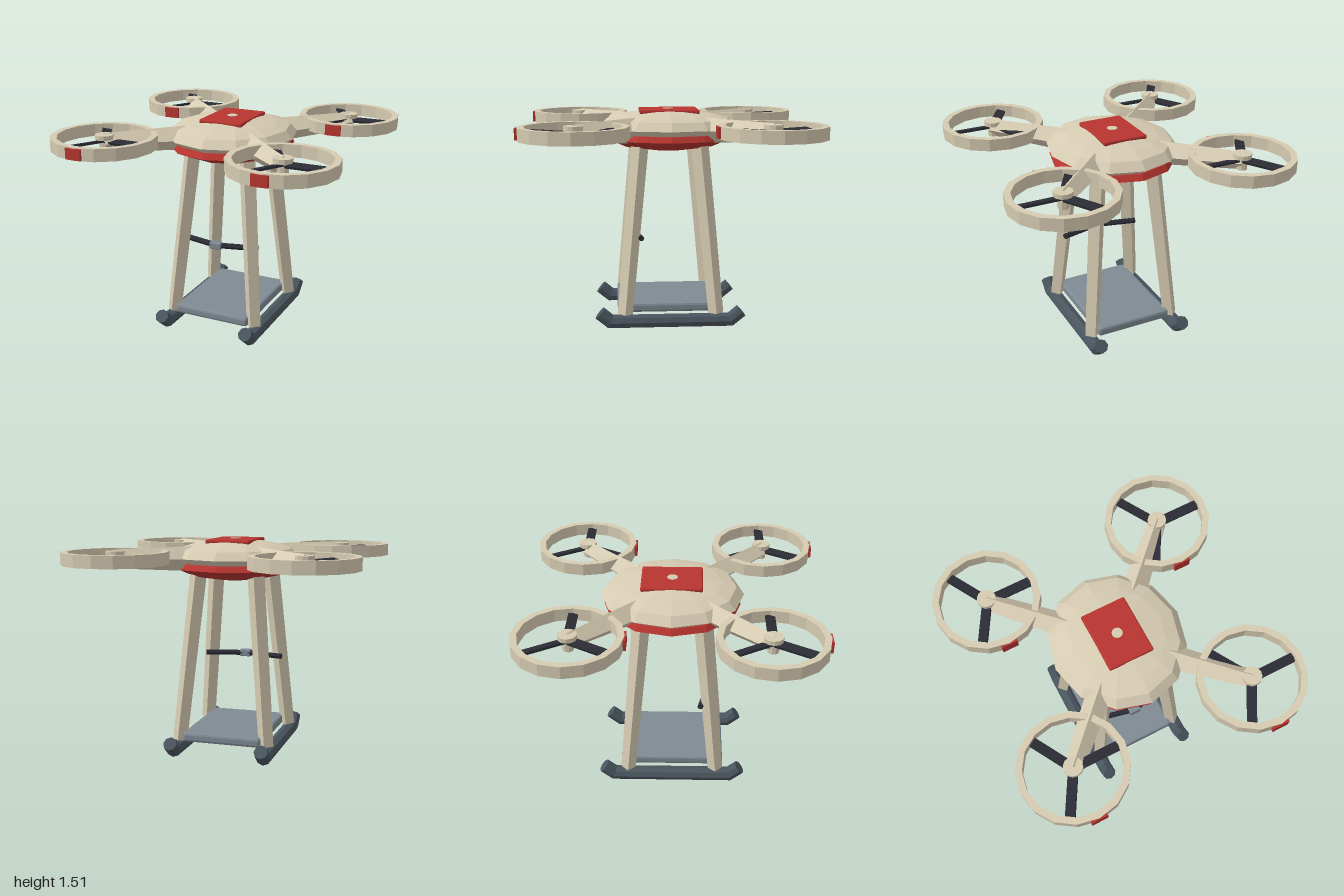
import * as THREE from 'three';
import { RoundedBoxGeometry } from 'three/addons/geometries/RoundedBoxGeometry.js';

const mat = (name, color) => {
  const m = new THREE.MeshStandardMaterial({ color });
  m.name = name;
  return m;
};
const V = (x, y, z) => new THREE.Vector3(x, y, z);

// faceted copy of a geometry
function facet(geo) {
  const g = geo.index ? geo.toNonIndexed() : geo;
  g.computeVertexNormals();
  return g;
}

// faceted solid of revolution, profile listed bottom to top
const lathe = (profile, sides) =>
  facet(new THREE.LatheGeometry(profile.map(p => new THREE.Vector2(...p)), sides));

// capped bar of regular cross-sections along a path; one corner points along "up"
function bar(path, radii, sides, up) {
  const pos = [], idx = [], n = path.length;
  path.forEach((p, i) => {
    const t = V(0, 0, 0);
    if (i > 0) t.add(p.clone().sub(path[i - 1]).normalize());
    if (i < n - 1) t.add(path[i + 1].clone().sub(p).normalize());
    t.normalize();
    const right = up.clone().cross(t).normalize();
    const top = t.clone().cross(right);
    for (let j = 0; j < sides; j++) {
      const a = (j / sides) * Math.PI * 2;
      const q = p.clone().addScaledVector(right, Math.cos(a) * radii[i]).addScaledVector(top, Math.sin(a) * radii[i]);
      pos.push(q.x, q.y, q.z);
    }
  });
  for (let i = 0; i < n - 1; i++) {
    for (let j = 0; j < sides; j++) {
      const a = i * sides + j, b = i * sides + (j + 1) % sides;
      idx.push(a, b, a + sides, b, b + sides, a + sides);
    }
  }
  const last = (n - 1) * sides;
  for (let j = 1; j < sides - 1; j++) {
    idx.push(0, j + 1, j, last, last + j, last + j + 1);
  }
  const g = new THREE.BufferGeometry();
  g.setAttribute('position', new THREE.Float32BufferAttribute(pos, 3));
  g.setIndex(idx);
  return facet(g);
}

export function createModel() {
  const cream = mat('cream shell', 0xd6cbb2);
  const red = mat('red panel', 0xb83530);
  const dark = mat('dark blade', 0x2b2b35);
  const slate = mat('slate skid', 0x4a555e);
  const grey = mat('grey tray', 0x7f8a94);

  const model = new THREE.Group();
  model.name = 'quadcopter';
  const add = (parent, name, geo, material, x = 0, y = 0, z = 0) => {
    const m = new THREE.Mesh(geo, material);
    m.name = name;
    m.position.set(x, y, z);
    parent.add(m);
    return m;
  };

  // body: cream dome over a red belly, slightly longer front to back
  const body = new THREE.Group();
  body.name = 'body';
  body.scale.z = 1.085;
  model.add(body);
  add(body, 'upperShell', lathe([[0.39, 1.343], [0.447, 1.384], [0.40, 1.44], [0.31, 1.468], [0.16, 1.497], [0, 1.503]], 12), cream);
  add(body, 'belly', lathe([[0, 1.215], [0.12, 1.222], [0.31, 1.254], [0.43, 1.308], [0.405, 1.346], [0.3, 1.36]], 12), red);
  add(model, 'topHatch', facet(new RoundedBoxGeometry(0.315, 0.03, 0.415, 1, 0.01)), red, 0, 1.492, -0.003);
  add(model, 'hatchKnob', facet(new THREE.CylinderGeometry(0.036, 0.036, 0.02, 12)), cream, 0, 1.5, 0);

  // four rotors on diagonal arms
  const ringGeo = lathe([[0.357, 1.363], [0.357, 1.447], [0.313, 1.447], [0.313, 1.363], [0.357, 1.363]], 16);
  const capGeo = facet(new THREE.CylinderGeometry(0.063, 0.063, 0.03, 12));
  const stemGeo = facet(new THREE.CylinderGeometry(0.038, 0.038, 0.09, 10));
  const bladeGeo = facet(new THREE.BoxGeometry(0.3, 0.016, 0.064).rotateX(0.2).translate(0.165, 0, 0));
  const markGeo = facet(new THREE.BoxGeometry(0.11, 0.074, 0.02));
  const R = 0.637;
  for (const sx of [-1, 1]) {
    for (const sz of [-1, 1]) {
      add(model, 'arm', bar([V(sx * 0.24, 1.377, sz * 0.24), V(sx * 0.64, 1.397, sz * 0.64)], [0.086, 0.062], 4, V(0, 1, 0)), cream);
      const rotor = new THREE.Group();
      rotor.name = 'rotor';
      rotor.position.set(sx * R, 0, sz * R);
      model.add(rotor);
      add(rotor, 'rotorGuard', ringGeo, cream);
      add(rotor, 'hubCap', capGeo, cream, 0, 1.435, 0);
      add(rotor, 'hubStem', stemGeo, cream, 0, 1.385, 0);
      for (let k = 0; k < 3; k++) {
        add(rotor, 'blade', bladeGeo, dark, 0, 1.405, 0).rotation.y = (k * Math.PI * 2) / 3;
      }
      add(rotor, 'guardMarker', markGeo, red, 0, 1.404, 0.354);

      // leg from the belly down to the skid
      add(model, 'leg', bar([V(sx * 0.315, 0.1, sz * 0.318), V(sx * 0.207, 1.275, sz * 0.207)], [0.053, 0.061], 4, V(0, 0, 1)), cream);
    }
    // skid with upturned ends
    add(model, 'skid', bar([V(sx * 0.325, 0.115, -0.495), V(sx * 0.325, 0.052, -0.42), V(sx * 0.325, 0.052, 0.42), V(sx * 0.325, 0.115, 0.495)],
      [0.05, 0.052, 0.052, 0.05], 8, V(0, 1, 0)), slate);
    // half of the bent crossbar between the front legs
    add(model, 'crossbar', bar([V(0, 0.635, 0.268), V(sx * 0.29, 0.635, 0.2)], [0.02, 0.02], 6, V(0, 1, 0)), dark);
  }
  add(model, 'crossbarClamp', facet(new RoundedBoxGeometry(0.085, 0.052, 0.05, 1, 0.008)), grey, 0, 0.635, 0.268);

  // cargo tray between the skids
  add(model, 'tray', facet(new RoundedBoxGeometry(0.56, 0.066, 0.74, 1, 0.018)), grey, 0, 0.131, 0);
  return model;
}
